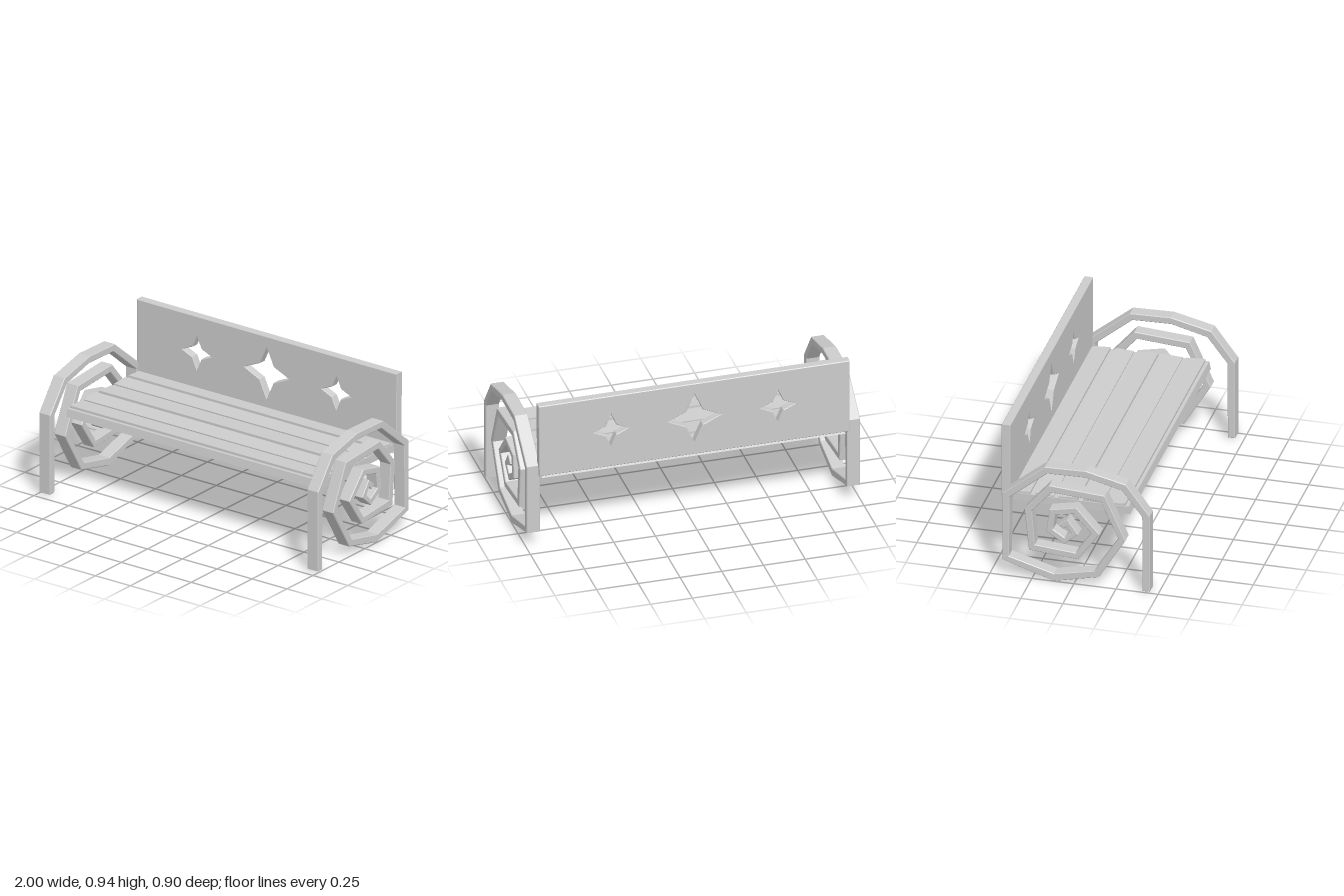
import * as THREE from 'three';

const material = new THREE.MeshStandardMaterial({ color: 0xcccccc, flatShading: true });

// Extrude an outline to a total depth, with a small chamfer kept inside the outline
function extrude(shape, depth, bevel) {
  return new THREE.ExtrudeGeometry(shape, {
    depth: depth - 2 * bevel, bevelEnabled: true, bevelSegments: 1,
    bevelThickness: bevel, bevelSize: bevel, bevelOffset: -bevel,
  }).translate(0, 0, bevel);
}

function addMesh(parent, name, geometry, x = 0, y = 0, z = 0) {
  const mesh = new THREE.Mesh(geometry, material);
  mesh.name = name;
  mesh.position.set(x, y, z);
  parent.add(mesh);
  return mesh;
}

// Four-pointed star opening
function starPath(cx, cy, radius, inner) {
  const points = [];
  for (let i = 0; i < 8; i++) {
    const r = i % 2 ? inner : radius;
    const a = i * Math.PI / 4;
    points.push(new THREE.Vector2(cx + r * Math.cos(a), cy + r * Math.sin(a)));
  }
  return new THREE.Path(points);
}

// Spiral armrest band: outer z, outer y, inner z, inner y, from the foot to the centre
const spiral = [
  [0.45, 0.01, 0.407, 0.01], [0.45, 0.503, 0.405, 0.492], [0.31, 0.69, 0.286, 0.648],
  [0.07, 0.747, 0.07, 0.704], [-0.174, 0.741, -0.16, 0.699], [-0.425, 0.537, -0.383, 0.515],
  [-0.425, 0.102, -0.388, 0.13], [-0.12, 0.003, -0.12, 0.052], [0.148, 0.065, 0.122, 0.103],
  [0.306, 0.325, 0.264, 0.33], [0.183, 0.6, 0.158, 0.558], [-0.148, 0.624, -0.132, 0.58],
  [-0.296, 0.45, -0.251, 0.443], [-0.268, 0.187, -0.233, 0.226], [0.025, 0.164, 0.01, 0.205],
  [0.151, 0.345, 0.105, 0.342], [0.013, 0.5, -0.003, 0.457], [-0.147, 0.466, -0.113, 0.434],
  [-0.166, 0.322, -0.125, 0.34], [-0.06, 0.253, -0.056, 0.295], [0.025, 0.327, -0.02, 0.33],
  [-0.04, 0.418, -0.043, 0.37], [-0.092, 0.376, -0.066, 0.352],
];

export function createModel() {
  const bench = new THREE.Group();
  bench.name = 'bench';

  // Spiral armrests, one at each end
  const outline = [
    ...spiral.map(([z, y]) => new THREE.Vector2(z, y)),
    ...spiral.map(([, , z, y]) => new THREE.Vector2(z, y)).reverse(),
  ];
  const armGeometry = extrude(new THREE.Shape(outline), 0.08, 0.004);
  armGeometry.rotateY(-Math.PI / 2);
  addMesh(bench, 'leftSpiralArm', armGeometry, 1);
  addMesh(bench, 'rightSpiralArm', armGeometry, -0.92);

  // Seat board, its front edge leaning slightly forward at the bottom
  const seatShape = new THREE.Shape([
    [0.31, 0.452], [0.3, 0.5], [-0.4, 0.5], [-0.425, 0.452],
  ].map(([z, y]) => new THREE.Vector2(z, y)));
  const seatGeometry = new THREE.ExtrudeGeometry(seatShape, { depth: 1.82, bevelEnabled: false });
  seatGeometry.rotateY(-Math.PI / 2);
  addMesh(bench, 'seat', seatGeometry, 0.91);

  // Five slats with alternating slight tilt
  [[0.28, 0.165], [0.145, 0.03], [0, -0.12], [-0.145, -0.255], [-0.285, -0.385]].forEach(([front, back], i) => {
    const slat = addMesh(bench, 'slat' + (i + 1),
      new THREE.BoxGeometry(1.81, 0.016, front - back), 0, 0.503, (front + back) / 2);
    slat.rotation.x = (i % 2 ? 1 : -1) * 0.06;
  });

  // Backrest panel with three star openings
  const panel = new THREE.Shape([
    new THREE.Vector2(-0.93, 0.478), new THREE.Vector2(0.93, 0.478),
    new THREE.Vector2(0.935, 0.94), new THREE.Vector2(-0.93, 0.945),
  ]);
  panel.holes.push(
    starPath(0, 0.715, 0.16, 0.07),
    starPath(-0.5, 0.715, 0.105, 0.045),
    starPath(0.5, 0.715, 0.105, 0.045),
  );
  addMesh(bench, 'backrest', extrude(panel, 0.052, 0.004), 0, 0, -0.449);

  return bench;
}
